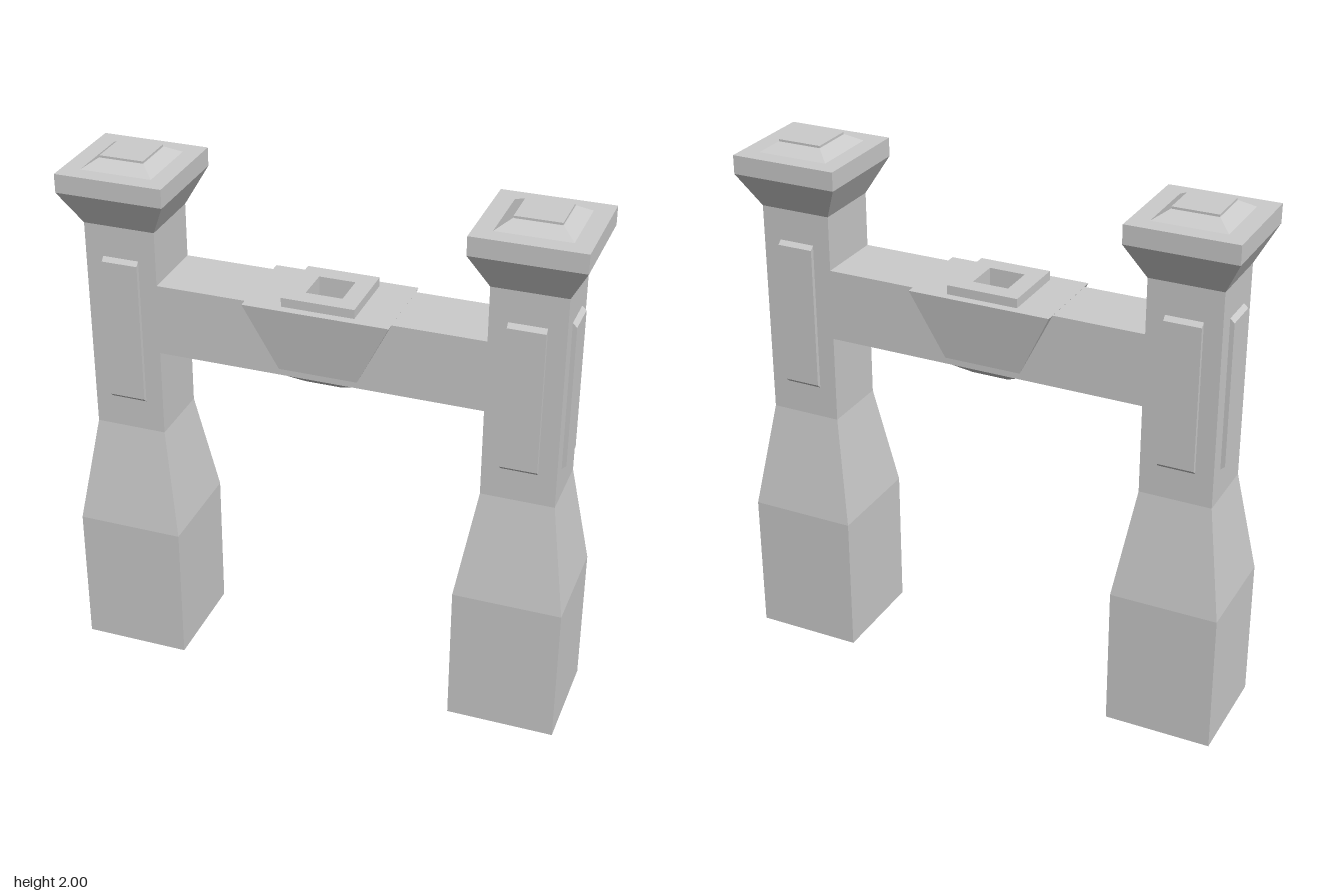
import * as THREE from 'three';

const material = new THREE.MeshStandardMaterial({ color: 0xcccccc, flatShading: true, side: THREE.DoubleSide });

function part(name, geometry, parent) {
  const mesh = new THREE.Mesh(geometry, material);
  mesh.name = name;
  parent.add(mesh);
  return mesh;
}

// Skin over stacked rectangular rings [halfX, halfZ, y], optionally capped at the last ring
function loft(rings, capped) {
  const corners = rings.map(([x, z, y]) => [[-x, y, z], [x, y, z], [x, y, -z], [-x, y, -z]]);
  const pos = [];
  const quad = (a, b, c, d) => pos.push(...a, ...b, ...c, ...a, ...c, ...d);
  for (let i = 0; i + 1 < corners.length; i++) {
    for (let k = 0; k < 4; k++) {
      const n = (k + 1) % 4;
      quad(corners[i][k], corners[i][n], corners[i + 1][n], corners[i + 1][k]);
    }
  }
  if (capped) quad(...corners[corners.length - 1]);
  const geometry = new THREE.BufferGeometry();
  geometry.setAttribute('position', new THREE.Float32BufferAttribute(pos, 3));
  geometry.computeVertexNormals();
  return geometry;
}

function rectPath(path, x, z) {
  path.moveTo(-x, -z);
  path.lineTo(x, -z);
  path.lineTo(x, z);
  path.lineTo(-x, z);
  path.closePath();
  return path;
}

// Horizontal slab with a square hole, from y0 to y1
function slab(x, z, y0, y1, hole) {
  const shape = rectPath(new THREE.Shape(), x, z);
  shape.holes.push(rectPath(new THREE.Path(), hole, hole));
  const geometry = new THREE.ExtrudeGeometry(shape, { depth: y1 - y0, bevelEnabled: false });
  return geometry.rotateX(-Math.PI / 2).translate(0, y0, 0);
}

// Raised panel with sloped top and bottom edges, facing +z
function panelGeometry() {
  const profile = new THREE.Shape([
    [-0.12, 1.07], [-0.135, 1.07], [-0.151, 1.085], [-0.151, 1.625], [-0.135, 1.64], [-0.12, 1.64],
  ].map(([z, y]) => new THREE.Vector2(z, y)));
  const geometry = new THREE.ExtrudeGeometry(profile, { depth: 0.136, bevelEnabled: false });
  return geometry.translate(0, 0, -0.068).rotateY(Math.PI / 2);
}

export function createModel() {
  const model = new THREE.Group();
  model.name = 'gateway';

  // Pillars with flared base, capital and stepped finial; panels on three faces
  const pillarRings = [
    [0.202, 0], [0.202, 0.54], [0.135, 0.95], [0.135, 1.76], [0.202, 1.89], [0.202, 1.96],
    [0.135, 1.96], [0.085, 1.992], [0.083, 1.992], [0.083, 2],
  ].map(([h, y]) => [h, h, y]);
  for (const side of [-1, 1]) {
    const pillar = new THREE.Group();
    pillar.name = side > 0 ? 'leftPillar' : 'rightPillar';
    pillar.position.x = side * 0.743;
    part('pillarShaft', loft(pillarRings, true), pillar);
    const faces = { frontPanel: 0, backPanel: Math.PI, outerPanel: side * Math.PI / 2 };
    for (const [name, angle] of Object.entries(faces)) {
      part(name, panelGeometry(), pillar).rotation.y = angle;
    }
    model.add(pillar);
  }

  // Crossbeam, pierced in the middle
  part('crossbeam', slab(0.612, 0.135, 1.285, 1.555, 0.069), model);

  // Tapered keystone with a shaft through it
  part('keystone', loft([
    [0.036, 0.036, 1.222], [0.07, 0.07, 1.238], [0.135, 0.132, 1.285], [0.27, 0.168, 1.556],
    [0.068, 0.068, 1.556], [0.068, 0.068, 1.25], [0.034, 0.034, 1.224],
  ], false), model);

  // Square collar around the shaft opening
  part('collar', slab(0.135, 0.135, 1.55, 1.59, 0.068), model);

  return model;
}
